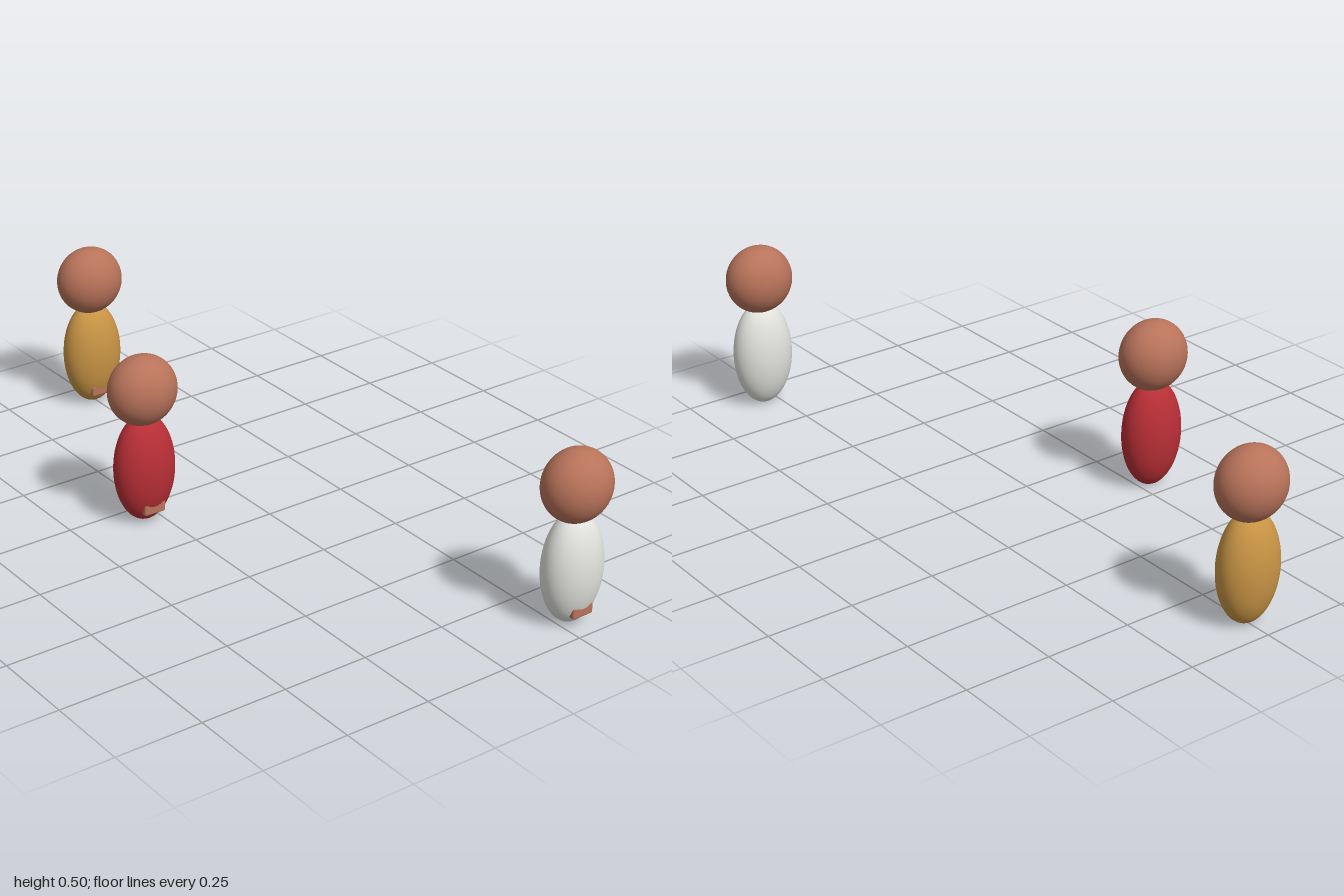
import * as THREE from 'three';
import { RoundedBoxGeometry } from 'three/addons/geometries/RoundedBoxGeometry.js';

const paint = (color) => new THREE.MeshStandardMaterial({ color });

// One figure: ellipsoid body, ellipsoid head and a small rounded foot block
function makeFigure(name, clothColor, skin) {
  const figure = new THREE.Group();
  figure.name = name;
  const sphere = new THREE.SphereGeometry(1, 48, 32);

  const body = new THREE.Mesh(sphere, paint(clothColor));
  body.name = 'body';
  body.scale.set(0.092, 0.16, 0.069);
  body.position.y = 0.16;

  const head = new THREE.Mesh(sphere, skin);
  head.name = 'head';
  head.scale.set(0.101, 0.101, 0.085);
  head.position.y = 0.395;

  // Foot block, mostly buried in the lower front of the body
  const feet = new THREE.Mesh(new RoundedBoxGeometry(0.068, 0.034, 0.04, 4, 0.006), skin);
  feet.name = 'feet';
  feet.position.set(0, 0.05, 0.0325);

  figure.add(body, head, feet);
  return figure;
}

export function createModel() {
  const model = new THREE.Group();
  model.name = 'figures';
  const skin = paint(0xb8735a);

  // name, cloth colour, x, z
  const figures = [
    ['whiteFigure', 0xe2e3de, 0.29, 0.915],
    ['redFigure', 0xb92f36, -0.29, -0.19],
    ['goldFigure', 0xc99545, 0, -0.915],
  ];
  for (const [name, color, x, z] of figures) {
    const figure = makeFigure(name, color, skin);
    figure.position.set(x, 0, z);
    model.add(figure);
  }
  return model;
}
